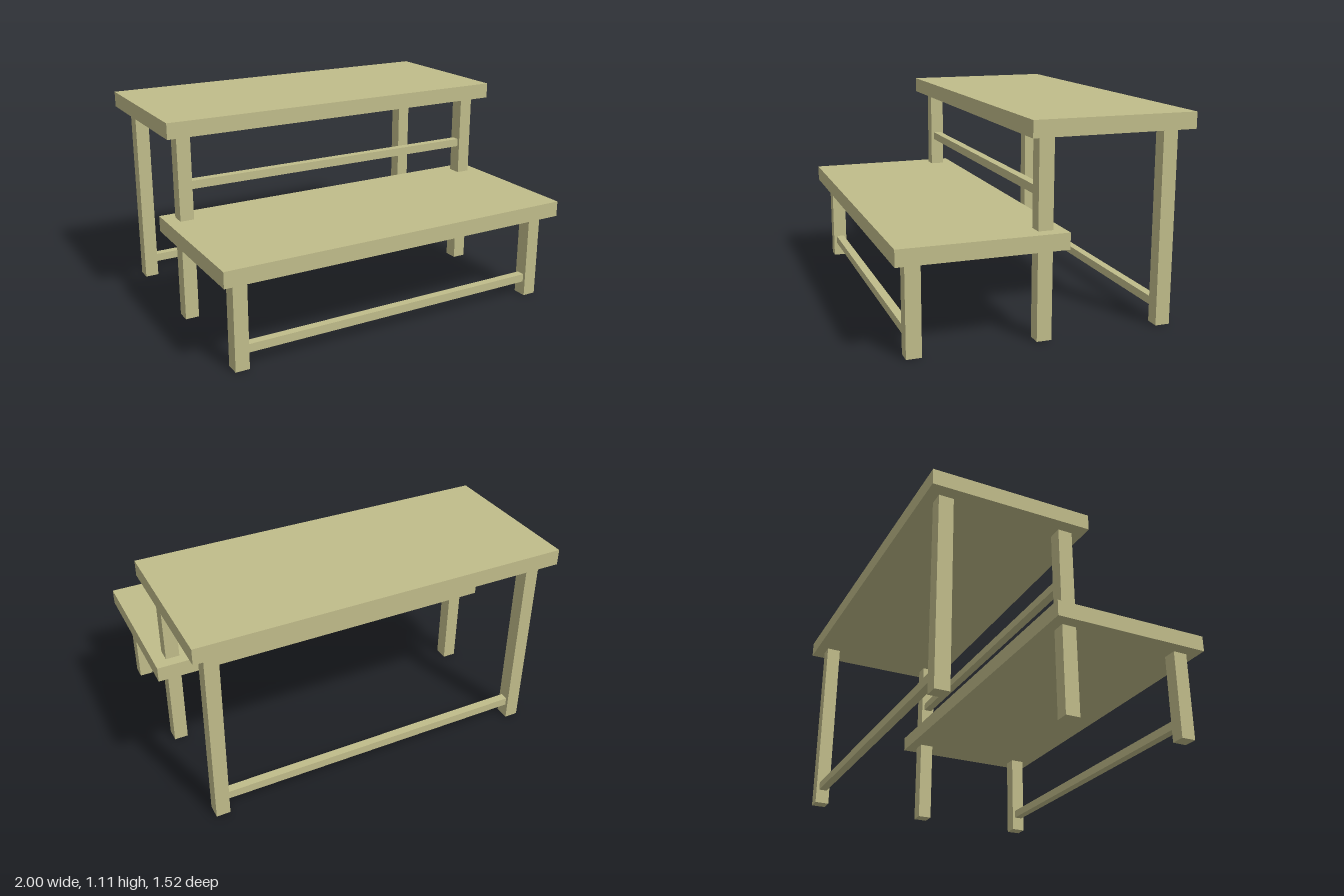
import * as THREE from 'three';

export function createModel() {
  const group = new THREE.Group();
  const wood = new THREE.MeshStandardMaterial({ color: 0xc0bc8a });

  // Box given by its x centre, bottom, z centre and size
  const addBox = (name, [w, h, d], x, bottom, z) => {
    const mesh = new THREE.Mesh(new THREE.BoxGeometry(w, h, d), wood);
    mesh.name = name;
    mesh.position.set(x, bottom + h / 2, z);
    group.add(mesh);
  };

  // Two stepped slabs
  addBox('lowerShelf', [2, 0.085, 0.86], 0, 0.475, 0.33);
  addBox('upperShelf', [2, 0.085, 0.86], 0, 1.022, -0.33);

  // Three rows of legs, each row joined by a thin rail
  const legX = 0.895, legWidth = 0.075, legDepth = 0.078, railSize = 0.045;
  const rows = [
    { name: 'front', z: 0.66, height: 0.475, railY: 0.079 },
    { name: 'middle', z: 0, height: 1.022, railY: 0.721 },
    { name: 'back', z: -0.66, height: 1.022, railY: 0.079 },
  ];
  for (const { name, z, height, railY } of rows) {
    for (const side of [-1, 1]) {
      const label = name + (side > 0 ? 'LeftLeg' : 'RightLeg');
      addBox(label, [legWidth, height, legDepth], side * legX, 0, z);
    }
    addBox(name + 'Rail', [2 * legX - legWidth, railSize, railSize], 0, railY, z);
  }

  return group;
}
